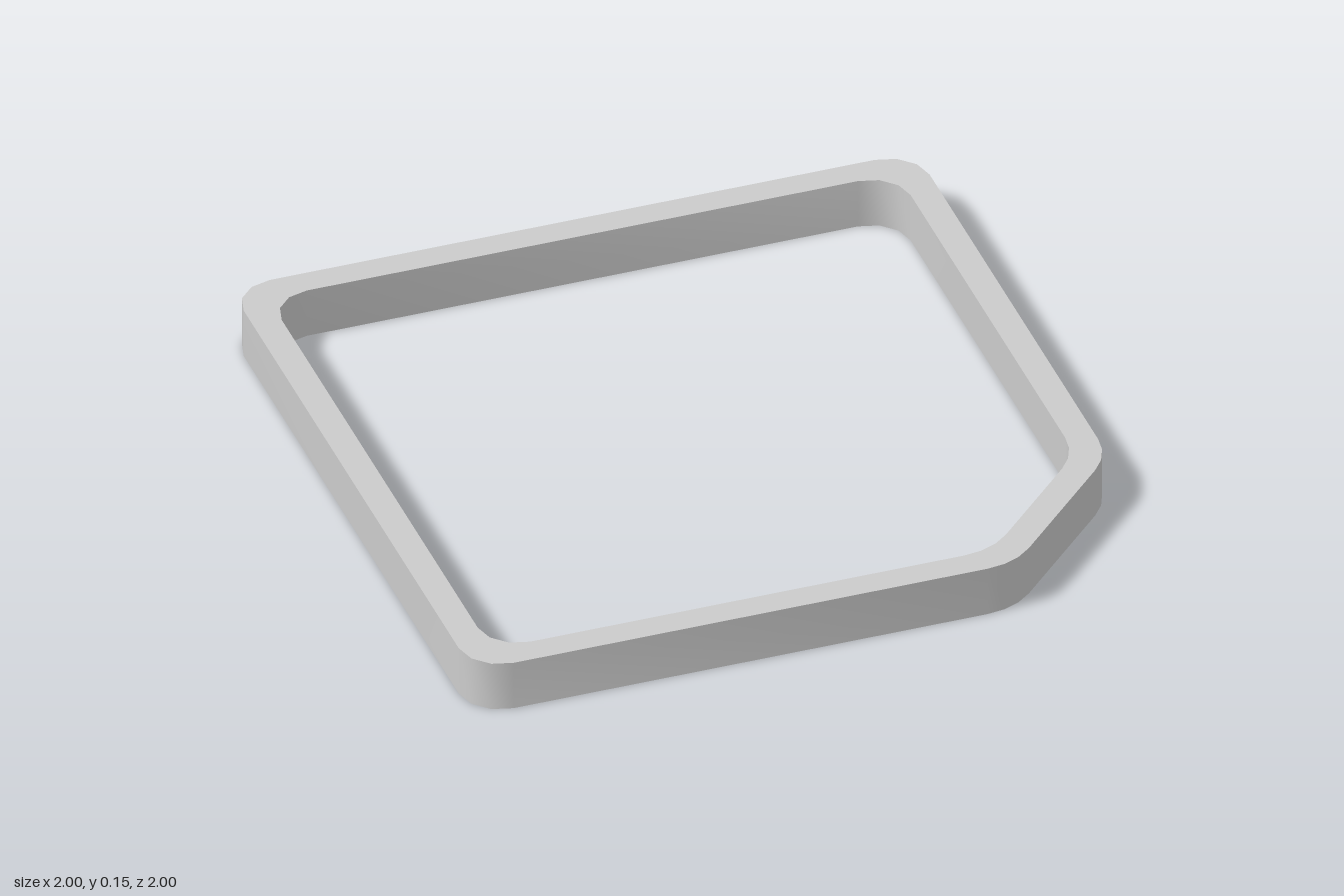
import * as THREE from 'three';
import { toCreasedNormals } from 'three/addons/utils/BufferGeometryUtils.js';

// Counter-clockwise polygon of [x, z, radius] corners, each rounded by a faceted arc
function roundedPoints(corners, segments = 3) {
  const n = corners.length, points = [];
  corners.forEach(([x, y, r], i) => {
    const p = corners[(i + n - 1) % n], q = corners[(i + 1) % n];
    const a = Math.atan2(y - p[1], x - p[0]);
    const b = Math.atan2(q[1] - y, q[0] - x);
    const turn = (b - a + 2 * Math.PI) % (2 * Math.PI);
    const d = r * Math.tan(turn / 2);
    const cx = x - d * Math.cos(a) - r * Math.sin(a);
    const cy = y - d * Math.sin(a) + r * Math.cos(a);
    for (let k = 0; k <= segments; k++) {
      const t = a - Math.PI / 2 + (turn * k) / segments;
      points.push(new THREE.Vector2(cx + r * Math.cos(t), cy + r * Math.sin(t)));
    }
  });
  return points;
}

// Square outline with its front left corner cut off
function outline(half, cut, radius, cutRadius) {
  return roundedPoints([
    [-half, -half, radius],
    [half, -half, radius],
    [half, cut, cutRadius],
    [cut, half, cutRadius],
    [-half, half, radius],
  ]);
}

export function createModel() {
  const height = 0.15;
  const group = new THREE.Group();
  group.name = 'cutCornerFrame';

  // Rim: outer outline with the inner opening as a hole
  const shape = new THREE.Shape(outline(1, 0.583, 0.118, 0.2));
  shape.holes.push(new THREE.Path(outline(0.917, 0.545, 0.113, 0.2)));
  const geometry = new THREE.ExtrudeGeometry(shape, { depth: height, bevelEnabled: false });
  geometry.rotateX(Math.PI / 2).translate(0, height, 0);

  const rim = new THREE.Mesh(
    toCreasedNormals(geometry, 0.7),
    new THREE.MeshStandardMaterial({ color: 0xcccccc })
  );
  rim.name = 'rim';
  group.add(rim);
  return group;
}
